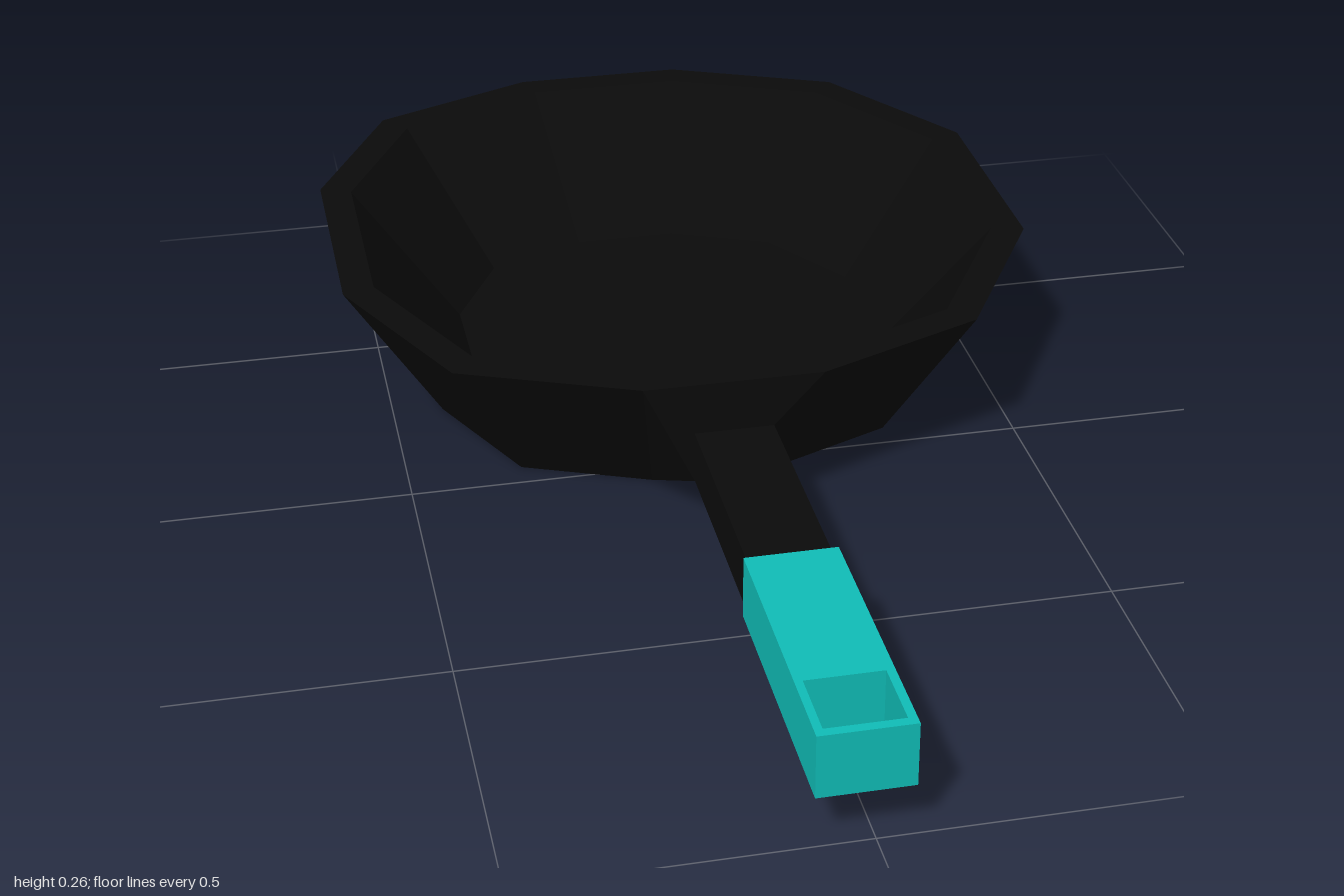
import * as THREE from 'three';

// Rim outline as [x, z], counter-clockwise from above, starting right of the handle
const RIM = [
  [0.125, 0.2], [0.4, 0.085], [0.57, -0.21], [0.57, -0.61], [0.4, -0.88], [0.125, -1],
  [-0.16, -1], [-0.435, -0.88], [-0.573, -0.61], [-0.573, -0.21], [-0.435, 0.085], [-0.16, 0.2],
];
const CX = -0.005, CZ = -0.395;

// The outline shrunk about the pan's centre, at height y
const ring = (s, y) => RIM.map(([x, z]) => [CX + (x - CX) * s, y, CZ + (z - CZ) * s]);

function panGeometry() {
  const pos = [];
  const tri = (...pts) => pts.forEach((p) => pos.push(...p));
  const quad = (a, b, c, d) => { tri(a, b, c); tri(a, c, d); };
  const n = RIM.length;

  // Underside, outer rim, inner rim, cooking floor
  const rings = [ring(0.725, 0), ring(1, 0.26), ring(0.91, 0.26), ring(0.61, 0.035)];
  for (let r = 0; r < 3; r++) {
    const lo = rings[r], hi = rings[r + 1];
    for (let i = 0; i < n; i++) {
      const j = (i + 1) % n;
      if (r === 0 && i === n - 1) {
        // Front facet bulges forward to a small square that meets the handle
        const outer = [lo[i], lo[j], hi[j], hi[i]];
        const socket = [[-0.08, 0.09, 0.2], [0.045, 0.09, 0.2], [0.045, 0.175, 0.2], [-0.08, 0.175, 0.2]];
        for (let k = 0; k < 4; k++) {
          const m = (k + 1) % 4;
          quad(outer[k], outer[m], socket[m], socket[k]);
        }
        quad(...socket);
      } else {
        quad(lo[i], lo[j], hi[j], hi[i]);
      }
    }
  }
  // Underside and floor caps
  for (let i = 0; i < n; i++) {
    const j = (i + 1) % n;
    tri([CX, 0, CZ], rings[0][j], rings[0][i]);
    tri([CX, 0.035, CZ], rings[3][i], rings[3][j]);
  }
  const g = new THREE.BufferGeometry();
  g.setAttribute('position', new THREE.Float32BufferAttribute(pos, 3));
  g.computeVertexNormals();
  return g;
}

// Closed rectangle path in x and z (z is negated so the extrusion can be stood up)
function rect(path, x0, x1, z0, z1) {
  path.moveTo(x0, -z1);
  path.lineTo(x1, -z1);
  path.lineTo(x1, -z0);
  path.lineTo(x0, -z0);
  path.closePath();
  return path;
}

export function createModel() {
  const model = new THREE.Group();
  model.name = 'fryingPan';
  const iron = new THREE.MeshStandardMaterial({ color: 0x0b0b0b, flatShading: true });
  const grip = new THREE.MeshStandardMaterial({ color: 0x10bdb7, flatShading: true });
  const add = (name, geometry, material) => {
    const mesh = new THREE.Mesh(geometry, material);
    mesh.name = name;
    model.add(mesh);
  };

  add('pan', panGeometry(), iron);

  // Square handle bar
  const bar = new THREE.BoxGeometry(0.125, 0.085, 0.38);
  bar.translate(-0.0175, 0.1325, 0.39);
  add('handleBar', bar, iron);

  // Grip with a rectangular hanging hole
  const outline = rect(new THREE.Shape(), -0.085, 0.055, 0.565, 1);
  outline.holes.push(rect(new THREE.Path(), -0.073, 0.042, 0.875, 0.985));
  const gripGeometry = new THREE.ExtrudeGeometry(outline, { depth: 0.1, bevelEnabled: false });
  gripGeometry.rotateX(-Math.PI / 2).translate(0, 0.08, 0);
  add('handleGrip', gripGeometry, grip);

  return model;
}
